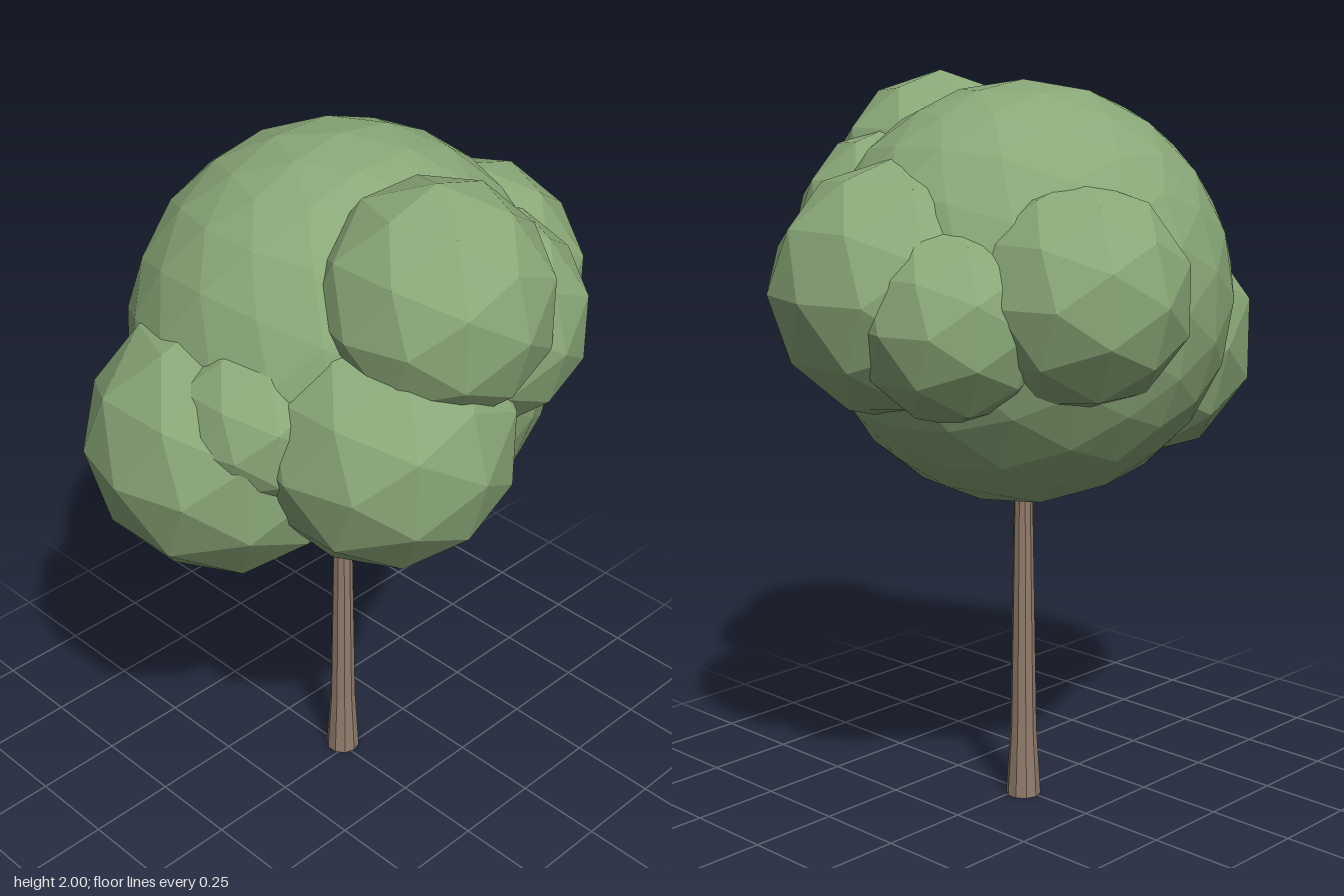
import * as THREE from 'three';

export function createModel() {
  const leafGreen = new THREE.MeshStandardMaterial({ color: 0x8aa878, flatShading: true });
  leafGreen.name = 'leafGreen';
  const barkBrown = new THREE.MeshStandardMaterial({ color: 0x917d6c, flatShading: true });
  barkBrown.name = 'barkBrown';

  const tree = new THREE.Group();
  tree.name = 'tree';

  // Trunk: slim, flared at the foot, running up into the crown
  const profile = [[0, 0], [0.049, 0], [0.037, 0.2], [0.026, 0.85], [0.025, 1.0], [0, 1.0]];
  const trunk = new THREE.Mesh(
    new THREE.LatheGeometry(profile.map(([r, y]) => new THREE.Vector2(r, y)), 10),
    barkBrown
  );
  trunk.name = 'trunk';
  trunk.position.set(0.01, 0, -0.022);
  tree.add(trunk);

  // Foliage: faceted balls, one large crown and smaller clumps around it
  const addFoliage = (name, x, y, z, radius, detail = 1) => {
    const ball = new THREE.Mesh(new THREE.IcosahedronGeometry(radius, detail), leafGreen);
    ball.name = name;
    ball.position.set(x, y, z);
    tree.add(ball);
  };

  addFoliage('crown', 0.01, 1.424, -0.022, 0.561, 3);
  addFoliage('upperFrontClump', -0.065, 1.697, 0.365, 0.304);
  addFoliage('lowerFrontClump', -0.18, 1.355, 0.317, 0.342);
  addFoliage('frontLeftClump', 0.121, 1.577, 0.345, 0.284);
  addFoliage('rightClump', -0.38, 1.27, -0.055, 0.36);
  addFoliage('smallRightClump', -0.39, 1.4, 0.1, 0.235);
  addFoliage('leftClump', 0.4, 1.466, 0.047, 0.335);
  addFoliage('smallLeftClump', 0.42, 1.405, -0.175, 0.255);
  addFoliage('backClump', 0.197, 1.47, -0.385, 0.29);

  return tree;
}
